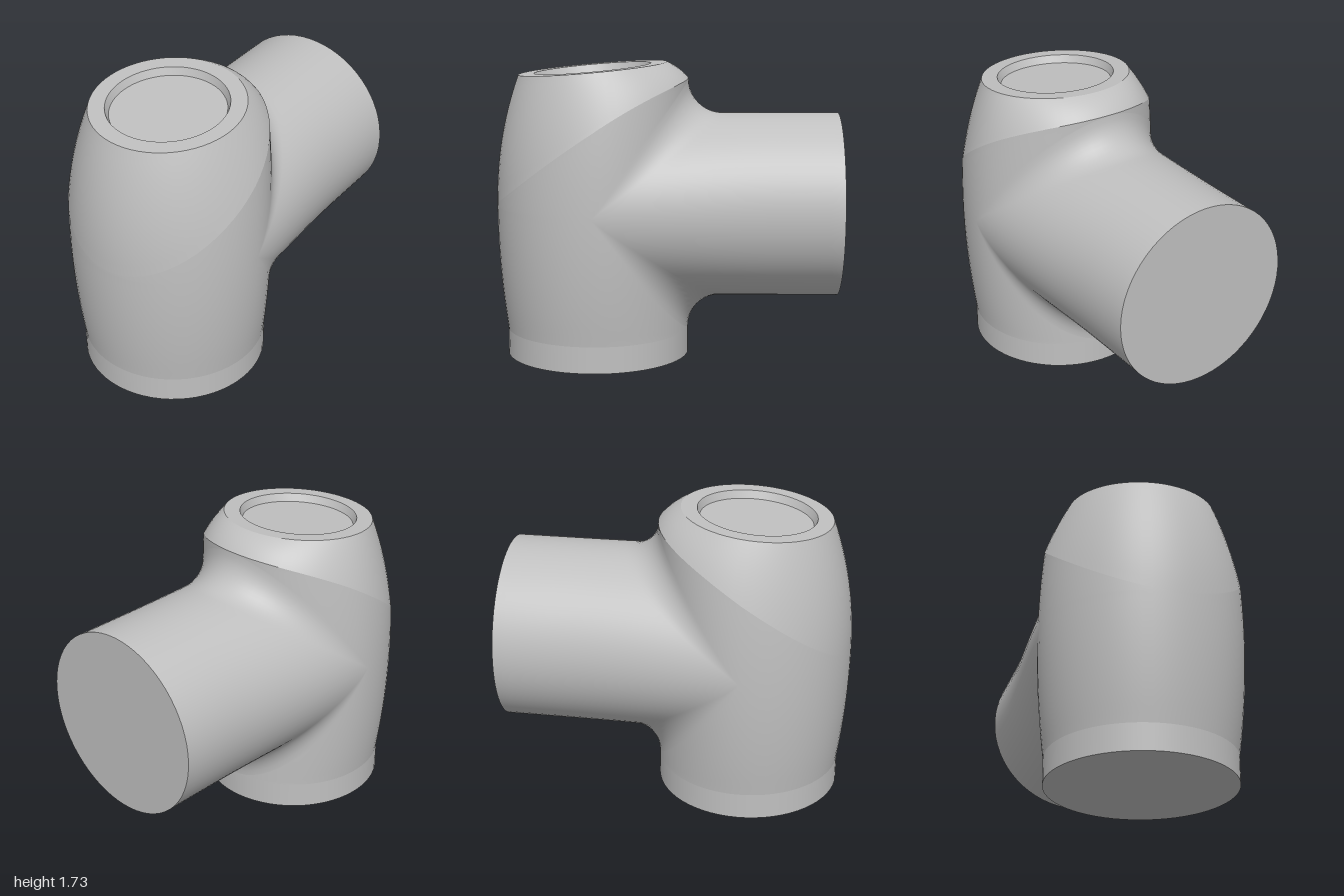
import * as THREE from 'three';
import { mergeGeometries, mergeVertices, toCreasedNormals } from 'three/addons/utils/BufferGeometryUtils.js';

const R = 0.537;            // radius shared by the upright body and the rear arm
const FILLET = 0.198;       // fillet radius where arm meets body
const K = 1 + FILLET / R;
const CY = 0.89, CZ = 0.41; // where the two axes cross
const BASE = 0.155, BACK = -1;
const SEG = 16;             // columns per quarter turn

// Swell the middle of the body, fading out along the arm
function swell(x, y, z) {
  const b = 0.095 * Math.max(0, 1 - ((y - 0.87) / 0.71) ** 2);
  const s = 1 + b * THREE.MathUtils.smoothstep(z, -0.65, CZ);
  return new THREE.Vector3(x * s, y, z > CZ ? CZ + (z - CZ) * s : z);
}

// Surface patch from fn(angle, v); v runs 0..1
function patch(fn, a0, a1, rows) {
  const cols = Math.round((a1 - a0) / (Math.PI / 2)) * SEG;
  const pos = [], idx = [];
  for (let j = 0; j <= rows; j++)
    for (let i = 0; i <= cols; i++)
      pos.push(...fn(a0 + (a1 - a0) * i / cols, j / rows).toArray());
  for (let j = 0; j < rows; j++)
    for (let i = 0; i < cols; i++) {
      const a = j * (cols + 1) + i, b = a + 1, c = a + cols + 1, d = c + 1;
      idx.push(a, b, d, a, d, c);
    }
  const g = new THREE.BufferGeometry();
  g.setAttribute('position', new THREE.Float32BufferAttribute(pos, 3));
  g.setIndex(idx);
  return g;
}

// Height of the slanted seam between body and shoulder
const seamY = (a) => 1.36 - 0.365 * Math.cos(a) - 0.095 * Math.cos(a) ** 2;
const backness = (a) => Math.max(0, -Math.cos(a)) * R;

// Upright wall between two heights
const wall = (lo, hi) => (a, v) =>
  swell(R * Math.sin(a), THREE.MathUtils.lerp(lo(a), hi(a), v), CZ + R * Math.cos(a));

// Rolling-ball fillet, v = 0 on the arm and 1 on the body; side is +1 above, -1 below
function fillet(a, v, side) {
  const x = R * Math.sin(a), h = backness(a);
  const onArm = new THREE.Vector3(-x, -h, 0).normalize();
  const onBody = new THREE.Vector3(-x, 0, -h).normalize();
  const t = Math.sin(v * Math.PI / 2), u = Math.cos(v * Math.PI / 2);
  const d = onArm.multiplyScalar(u).addScaledVector(onBody, t).normalize();
  const p = new THREE.Vector3(x, h, h).multiplyScalar(K).addScaledVector(d, FILLET);
  return swell(p.x, CY + side * p.y, CZ - p.z);
}

// Straight arm, v = 0 at the back end
function arm(a, v, side) {
  const h = backness(a);
  return swell(R * Math.sin(a), CY + side * h, THREE.MathUtils.lerp(BACK, CZ - K * h, v));
}

// Shoulder curving from the slanted seam to the tilted rim
const RIM = 0.4325, TILT = 0.0867;
function shoulder(a, v) {
  const y0 = seamY(a);
  const p0 = swell(R * Math.sin(a), y0, CZ + R * Math.cos(a));
  const z2 = RIM + RIM * Math.cos(a);
  const p2 = new THREE.Vector3(RIM * Math.sin(a), 1.725 - TILT * z2, z2);
  const p1 = p0.clone().lerp(p2, 0.5);
  const bulge = 0.012 + 0.055 * Math.max(0, Math.cos(a)) ** 2;
  p1.x += bulge * Math.sin(a);
  p1.z += bulge * Math.cos(a);
  p1.y += 0.015;
  return new THREE.QuadraticBezierCurve3(p0, p1, p2).getPoint(v);
}

function smooth(parts) {
  const g = mergeVertices(mergeGeometries(parts), 1e-4);
  g.computeVertexNormals();
  return g;
}

export function createModel() {
  const group = new THREE.Group();
  const grey = new THREE.MeshStandardMaterial({ color: 0xc0c0c0 });
  grey.name = 'light grey';
  const add = (name, geometry) => {
    const m = new THREE.Mesh(geometry, grey);
    m.name = name;
    group.add(m);
    return m;
  };

  // Body walls, fillets and rear arm as one smooth skin
  const P = Math.PI, base = () => BASE, mid = () => CY;
  const above = (a) => CY + K * backness(a), below = (a) => CY - K * backness(a);
  const back = (fn, rows) => patch(fn, P / 2, 1.5 * P, rows);
  add('bodyAndArm', smooth([
    patch(wall(base, mid), -P / 2, P / 2, 14),
    patch(wall(mid, seamY), -P / 2, P / 2, 10),
    back(wall(base, below), 14),
    back(wall(above, seamY), 10),
    back((a, v) => fillet(a, v, 1), 10),
    back((a, v) => fillet(a, 1 - v, -1), 10),
    back((a, v) => arm(a, v, 1), 16),
    back((a, v) => arm(a, 1 - v, -1), 16),
  ]));

  // Shoulder
  add('shoulder', smooth([patch(shoulder, 0, 2 * P, 12)]));

  // Tilted rim with a shallow round recess
  const profile = [[RIM, 0], [0.34, 0], [0.322, -0.045], [0, -0.045]];
  const rim = add('topRim', toCreasedNormals(
    new THREE.LatheGeometry(profile.map(([r, y]) => new THREE.Vector2(r, y)), SEG * 4), 0.5));
  rim.position.set(0, 1.725 - TILT * RIM, RIM);
  rim.rotation.x = Math.atan(TILT);
  rim.scale.z = Math.hypot(1, TILT);

  // Base collar and flat closing discs
  const collar = add('baseCollar', new THREE.CylinderGeometry(R, R, BASE, SEG * 4, 1, true));
  collar.position.y = BASE / 2;
  const bottom = add('baseDisc', new THREE.CircleGeometry(R, SEG * 4));
  bottom.rotation.x = P / 2;
  collar.position.z = bottom.position.z = CZ;
  const end = add('armEndDisc', new THREE.CircleGeometry(R, SEG * 4));
  end.rotation.y = P;
  end.position.set(0, CY, BACK);

  return group;
}
